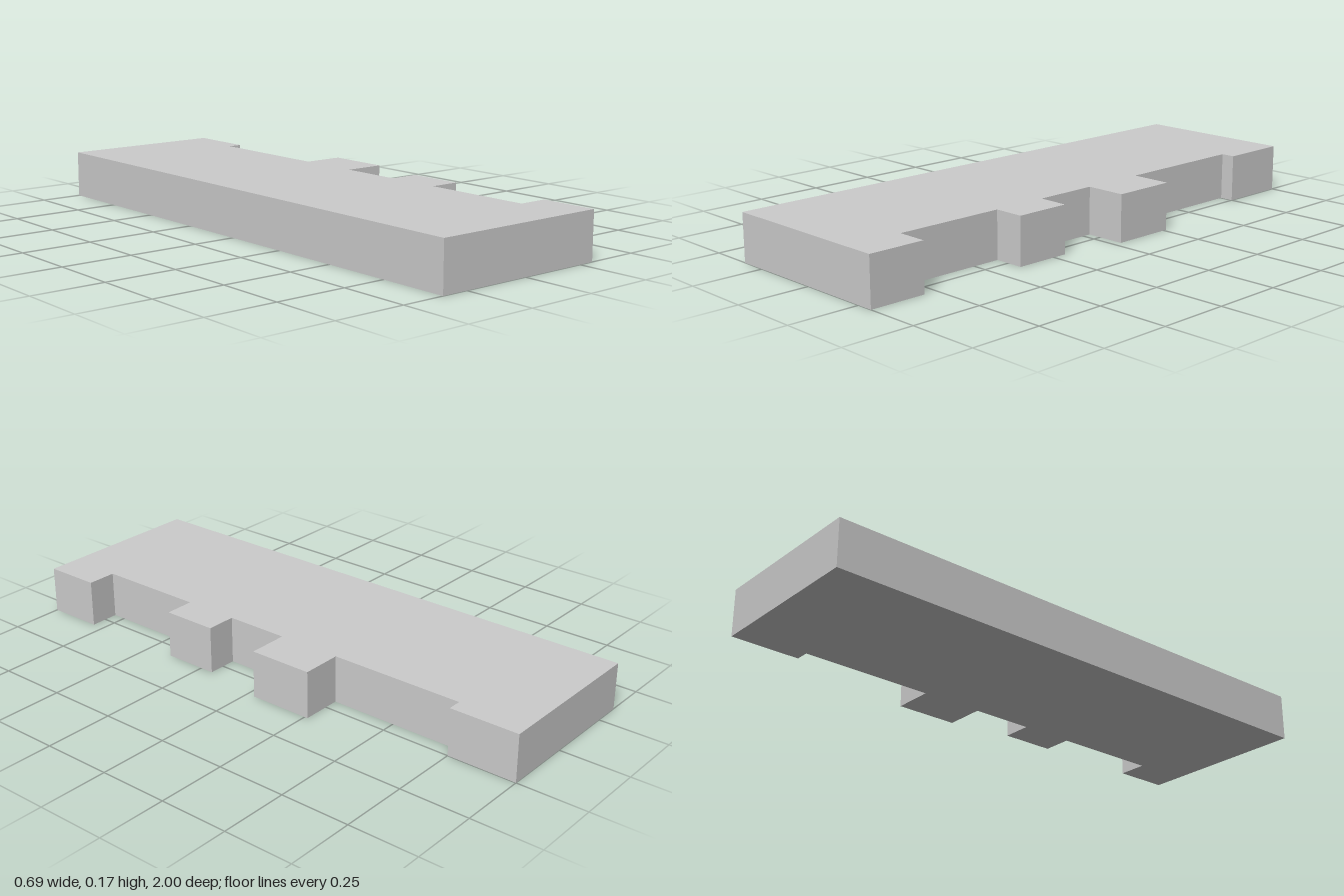
import * as THREE from 'three';

const HEIGHT = 0.169;
const LEFT = -0.346; // straight edge
const ROOT = 0.2; // edge between the teeth

// Teeth from front to back: front z, back z, outer x
const TEETH = [
  [1, 0.797, 0.308],
  [0.4, 0.2, 0.308],
  [-0.03, -0.262, 0.346],
  [-0.75, -1, 0.25],
];

export function createModel() {
  const group = new THREE.Group();
  const material = new THREE.MeshStandardMaterial({ color: 0xcccccc, flatShading: true });

  // Plan outline, drawn with shape y = -z
  const outline = new THREE.Shape();
  outline.moveTo(LEFT, -1);
  TEETH.forEach(([front, back, x], i) => {
    if (i > 0) outline.lineTo(ROOT, -front);
    outline.lineTo(x, -front);
    outline.lineTo(x, -back);
    if (i < TEETH.length - 1) outline.lineTo(ROOT, -back);
  });
  outline.lineTo(LEFT, 1);
  outline.closePath();

  // Flat plate with the toothed edge, laid down on y = 0
  const geometry = new THREE.ExtrudeGeometry(outline, { depth: HEIGHT, bevelEnabled: false });
  geometry.rotateX(-Math.PI / 2);
  const plate = new THREE.Mesh(geometry, material);
  plate.name = 'toothedPlate';
  group.add(plate);

  return group;
}
